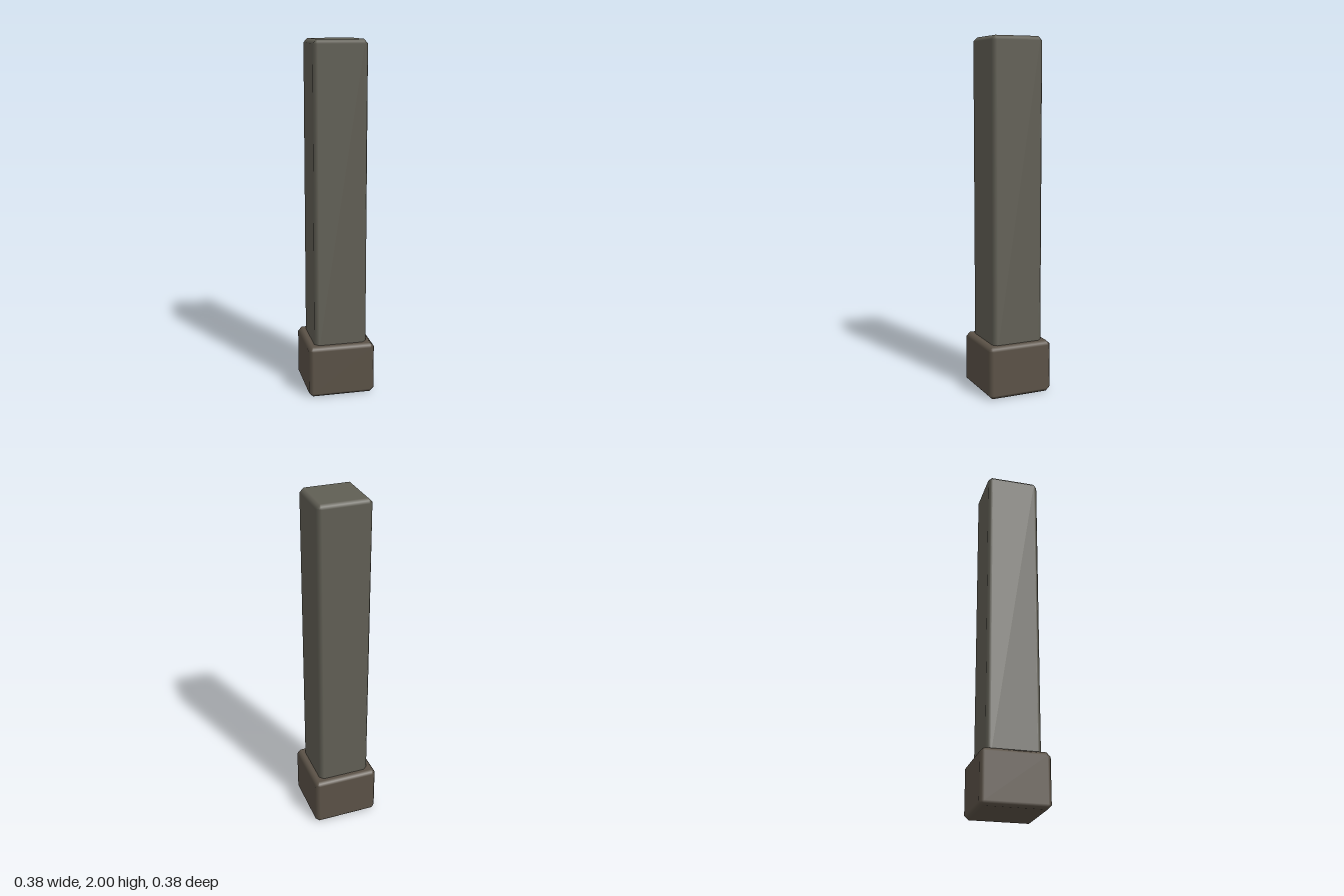
import * as THREE from 'three';

// Box with single flat chamfers on every edge and smooth shading across them.
function chamferedBox(width, height, depth, chamfer) {
  const geometry = new THREE.BoxGeometry(1, 1, 1, 3, 3, 3);
  const position = geometry.attributes.position;
  const normal = geometry.attributes.normal;
  const core = new THREE.Vector3(width, height, depth).multiplyScalar(0.5).subScalar(chamfer);
  const p = new THREE.Vector3();
  const n = new THREE.Vector3();

  for (let i = 0; i < position.count; i++) {
    p.fromBufferAttribute(position, i);
    // Inner grid lines go to 0, outer ones to 1, so n points along the face, edge or corner.
    n.set(Math.trunc(p.x * 2.001), Math.trunc(p.y * 2.001), Math.trunc(p.z * 2.001));
    p.set(Math.sign(p.x), Math.sign(p.y), Math.sign(p.z)).multiply(core);
    p.addScaledVector(n, chamfer / n.manhattanLength());
    n.normalize();
    position.setXYZ(i, p.x, p.y, p.z);
    normal.setXYZ(i, n.x, n.y, n.z);
  }
  return geometry;
}

function block(name, width, bottom, top, color) {
  const mesh = new THREE.Mesh(
    chamferedBox(width, top - bottom, width, 0.023),
    new THREE.MeshStandardMaterial({ color })
  );
  mesh.name = name;
  mesh.position.y = (bottom + top) / 2;
  return mesh;
}

export function createModel() {
  const model = new THREE.Group();
  model.name = 'squarePillar';

  // Wider foot, with the shaft set slightly into it
  model.add(block('base', 0.38, 0, 0.3, 0x5a5146));
  model.add(block('shaft', 0.3, 0.24, 2, 0x605e54));

  return model;
}
